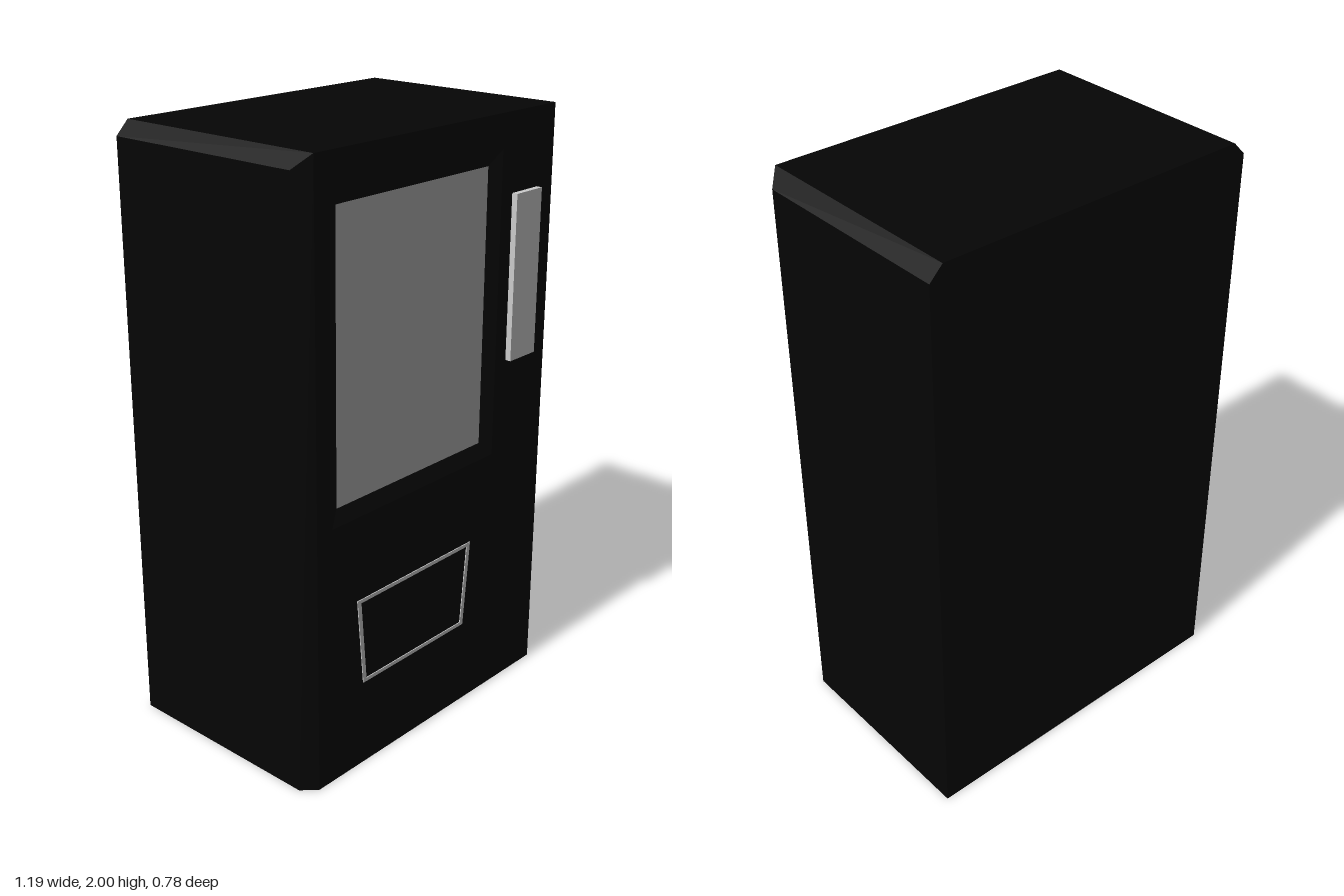
import * as THREE from 'three';

const FRONT = 0.37, BACK = -0.39;

const material = (color) => new THREE.MeshStandardMaterial({ color });

function addMesh(group, name, geometry, mat) {
  const mesh = new THREE.Mesh(geometry, mat);
  mesh.name = name;
  group.add(mesh);
  return mesh;
}

// Flat-shaded geometry from convex polygons with counter-clockwise corners
function fromPolygons(polygons) {
  const positions = [];
  for (const p of polygons) {
    for (let i = 1; i < p.length - 1; i++) positions.push(...p[0], ...p[i], ...p[i + 1]);
  }
  const geometry = new THREE.BufferGeometry();
  geometry.setAttribute('position', new THREE.Float32BufferAttribute(positions, 3));
  geometry.computeVertexNormals();
  return geometry;
}

const rect = (x0, x1, y0, y1) => [[x0, y0], [x1, y0], [x1, y1], [x0, y1]];
const toPoints = (corners) => corners.map(([x, y]) => new THREE.Vector2(x, y));

function shapeWithHole(outer, inner) {
  const shape = new THREE.Shape(toPoints(outer));
  shape.holes.push(new THREE.Path(toPoints(inner)));
  return shape;
}

export function createModel() {
  const model = new THREE.Group();
  model.name = 'vendingMachine';
  const black = material(0x050505);
  const grey = material(0xcccccc);

  // Cabinet shell: chamfered front uprights and top side edges
  const mirror = ([x, y, z]) => [-x, y, z];
  const topFront = [0.55, 2, FRONT], topBack = [0.55, 2, BACK];
  const sideFront = [0.595, 1.955, 0.325], sideBack = [0.595, 1.955, BACK];
  const footFront = [0.55, 0, FRONT], footSide = [0.595, 0, 0.325], footBack = [0.595, 0, BACK];
  const leftHalf = [
    [footSide, footBack, sideBack, sideFront],
    [footFront, footSide, sideFront, topFront],
    [sideFront, sideBack, topBack, topFront],
  ];
  const rightHalf = leftHalf.map((p) => p.map(mirror).reverse());
  const middle = [
    [topFront, topBack, mirror(topBack), mirror(topFront)],
    [footBack, mirror(footBack), mirror(sideBack), mirror(topBack), topBack, sideBack],
    [footSide, footFront, mirror(footFront), mirror(footSide), mirror(footBack), footBack],
  ];
  addMesh(model, 'cabinet', fromPolygons([...leftHalf, ...rightHalf, ...middle]), black);

  // Front panel with the window opening
  const opening = rect(-0.485, 0.285, 0.88, 1.89);
  const pane = rect(-0.44, 0.245, 0.925, 1.84);
  const paneZ = 0.345;
  const panel = new THREE.ShapeGeometry(shapeWithHole(rect(-0.55, 0.55, 0, 2), opening));
  addMesh(model, 'frontPanel', panel, black).position.z = FRONT;

  // Sloped frame leading back to the window pane
  const slopes = opening.map((corner, i) => {
    const j = (i + 1) % 4;
    return [[...corner, FRONT], [...opening[j], FRONT], [...pane[j], paneZ], [...pane[i], paneZ]];
  });
  addMesh(model, 'windowFrame', fromPolygons(slopes), black);

  const glass = new THREE.ShapeGeometry(new THREE.Shape(toPoints(pane)));
  addMesh(model, 'windowPane', glass, material(0xb0b0b0)).position.z = paneZ;

  // Payment panel beside the window
  const payment = new THREE.BoxGeometry(0.13, 0.55, 0.02);
  addMesh(model, 'paymentPanel', payment, grey).position.set(0.405, 1.47, FRONT + 0.01);

  // Tapered outline of the pickup flap
  const flap = shapeWithHole(
    [[-0.348, 0.297], [0.152, 0.297], [0.18, 0.597], [-0.376, 0.597]],
    [[-0.334, 0.309], [0.138, 0.309], [0.163, 0.585], [-0.359, 0.585]],
  );
  const trim = new THREE.ExtrudeGeometry(flap, { depth: 0.004, bevelEnabled: false });
  addMesh(model, 'pickupFlapTrim', trim, grey).position.z = FRONT - 0.001;

  return model;
}
